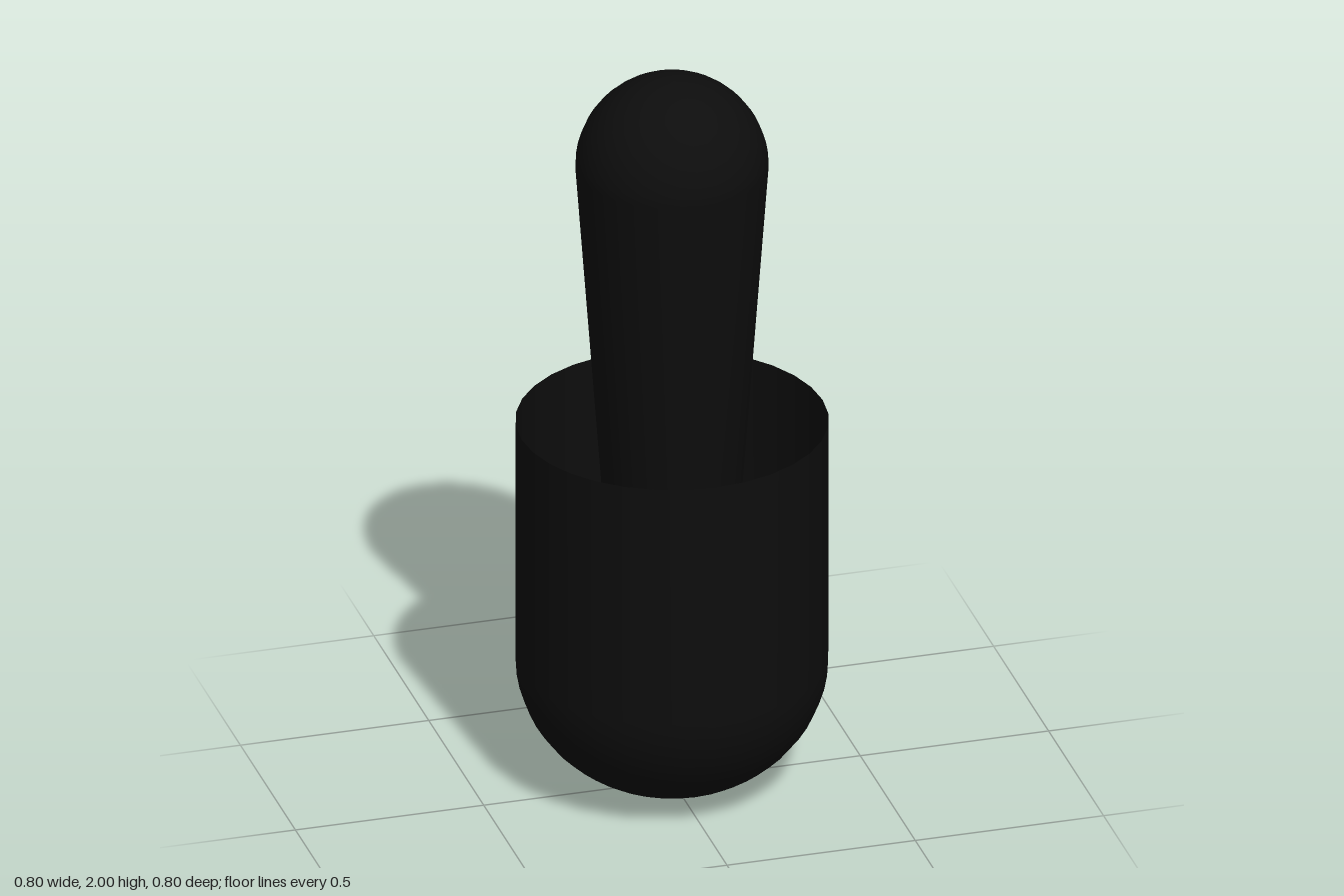
import * as THREE from 'three';

export function createModel() {
  const model = new THREE.Group();
  const black = new THREE.MeshStandardMaterial({ color: 0x0d0d0d });
  const shell = new THREE.MeshStandardMaterial({ color: 0x0d0d0d, side: THREE.DoubleSide });
  const grey = new THREE.MeshStandardMaterial({ color: 0xcccccc });
  const red = new THREE.MeshStandardMaterial({ color: 0xcc1100 });

  function add(name, geometry, material) {
    const mesh = new THREE.Mesh(geometry, material);
    mesh.name = name;
    model.add(mesh);
    return mesh;
  }

  // Quarter ellipse from the axis (bottom) or to the axis (top)
  function arc(radius, height, centreY, from, to, steps) {
    return Array.from({ length: steps + 1 }, (_, i) => {
      const a = from + (to - from) * i / steps;
      return new THREE.Vector2(Math.max(0, radius * Math.cos(a)), centreY + height * Math.sin(a));
    });
  }

  // Open, round-bottomed cup
  const bowl = arc(0.4, 0.36, 0.36, -Math.PI / 2, 0, 14);
  add('cup', new THREE.LatheGeometry([...bowl, new THREE.Vector2(0.4, 1.03)], 32), shell);

  // Tapered body standing inside the cup, with a domed head
  const dome = arc(0.247, 0.245, 1.755, 0, Math.PI / 2, 14);
  add('body', new THREE.LatheGeometry(
    [new THREE.Vector2(0, 0.03), new THREE.Vector2(0.12, 0.03), ...dome], 32), black);

  // Flattened eyes, turned outwards around the body
  for (const [name, side, x] of [['leftEye', 1, 0.092], ['rightEye', -1, -0.082]]) {
    const eye = add(name, new THREE.SphereGeometry(1, 32, 20), grey);
    eye.scale.set(0.088, 0.083, 0.046);
    eye.rotation.y = -side * 0.43;
    eye.position.set(x, 1.58, -0.218);
  }

  // Open mouth: a ring bent around the body
  const ring = Array.from({ length: 16 }, (_, i) => {
    const a = i / 16 * Math.PI * 2;
    const c = Math.cos(a), s = Math.sin(a);
    return new THREE.Vector3(-0.006 + 0.06 * c, 1.384 + 0.037 * s, -0.242 + 0.028 * c * c);
  });
  add('mouth', new THREE.TubeGeometry(
    new THREE.CatmullRomCurve3(ring, true), 48, 0.01, 8, true), red);

  return model;
}
